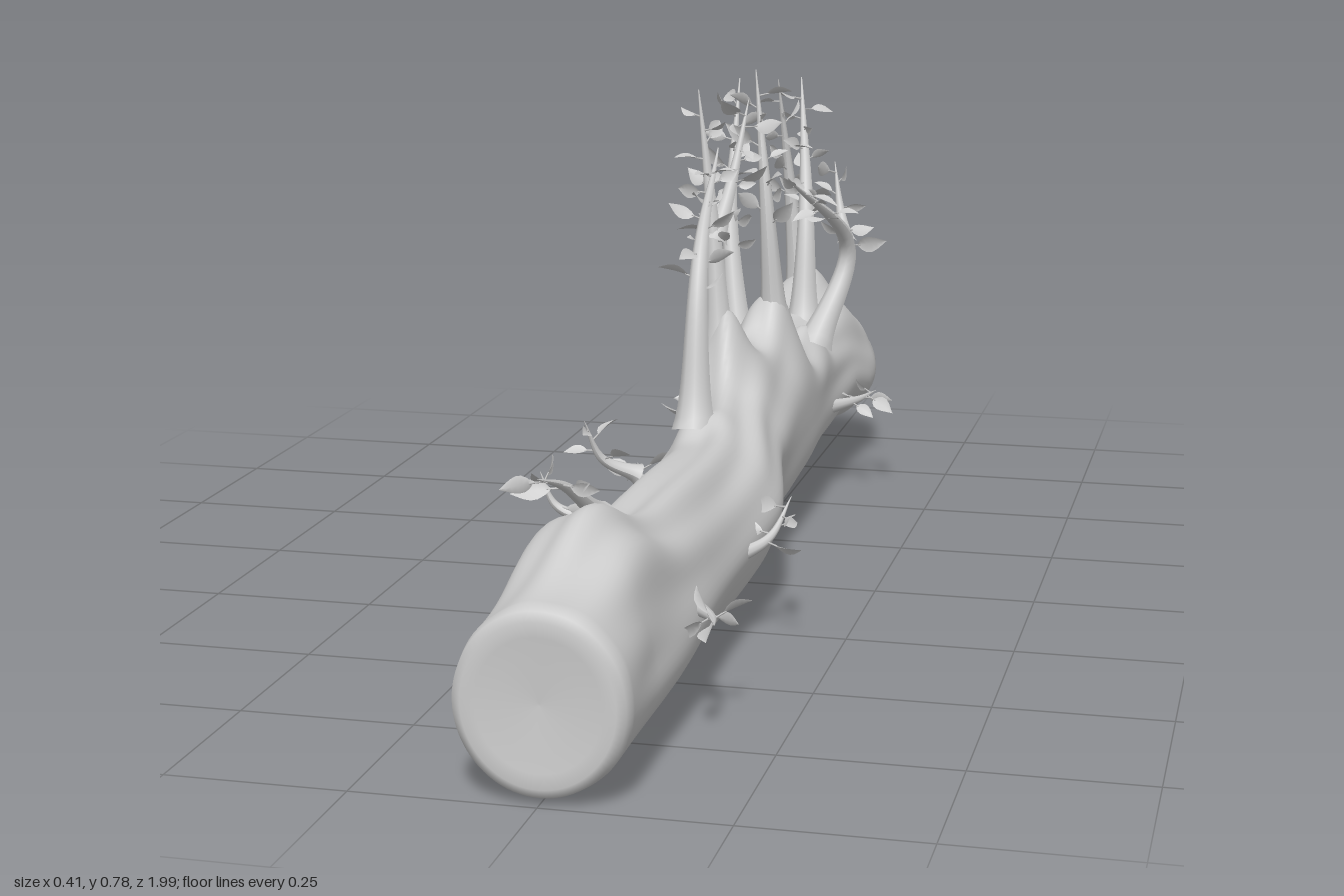
import * as THREE from 'three';
import { mergeGeometries } from 'three/addons/utils/BufferGeometryUtils.js';

const V = (x, y, z) => new THREE.Vector3(x, y, z);
const bark = new THREE.MeshStandardMaterial({ color: 0xcccccc });
const foliage = new THREE.MeshStandardMaterial({ color: 0xcccccc, side: THREE.DoubleSide });

let seed = 7;
const rnd = () => (seed = (seed * 16807) % 2147483647) / 2147483647;

// Trunk outline: z, then the left, right, bottom and top limits
const STATIONS = [
  [1, -0.115, 0.118, 0, 0.25], [0.5, -0.1, 0.11, 0, 0.26], [0.15, -0.09, 0.12, 0.025, 0.255],
  [-0.1, -0.09, 0.085, 0.05, 0.28], [-0.35, -0.09, 0.08, 0.055, 0.29], [-0.52, -0.11, 0.08, 0.068, 0.285],
  [-0.72, -0.105, 0.085, 0.09, 0.285], [-0.88, -0.125, 0.09, 0.055, 0.265], [-1, -0.115, 0.08, 0.075, 0.23],
];
// Collars where boughs leave the trunk: x, z, height, radius
const HUMPS = [
  [0, 0.76, 0.06, 0.11], [-0.035, -0.15, 0.1, 0.055], [0.01, -0.35, 0.1, 0.055],
  [-0.01, -0.25, 0.04, 0.12], [-0.03, -0.82, 0.09, 0.075], [0.045, -0.53, 0.03, 0.045],
  [-0.03, 0.05, 0.025, 0.035],
];
const bell = (d, width) => Math.exp(-((d / width) ** 2));

function section(z) {
  let i = 0;
  while (i < STATIONS.length - 2 && z < STATIONS[i + 1][0]) i++;
  const a = STATIONS[i], b = STATIONS[i + 1];
  const t = THREE.MathUtils.smoothstep((a[0] - z) / (a[0] - b[0]), 0, 1);
  return a.map((v, k) => v + (b[k] - v) * t);
}

// One trunk with knobbly collars, long grooves and rounded, closed ends
function trunkGeometry() {
  const N = 80, LAST = 204, pos = [], index = [];
  for (let r = 0; r <= LAST; r++) {
    // the first and last rings close the ends along a rounded rim
    const e = Math.min(r, LAST - r, 6) / 6, s = Math.sin((e * Math.PI) / 2);
    const z = r < 6 || r > LAST - 6
      ? Math.sign(LAST / 2 - r) * (e < 0.8 ? 0.99 + 0.012 * e : 0.992)
      : 0.975 - (1.95 * (r - 6)) / (LAST - 12);
    const [, left, right, bottom, top] = section(z);
    const cx = (left + right) / 2, cy = (bottom + top) / 2;
    const calm = THREE.MathUtils.clamp((1 - Math.abs(z)) * 6, 0, 1);
    for (let i = 0; i < N; i++) {
      const a = (i / N) * Math.PI * 2, c = Math.cos(a), n = Math.sin(a);
      const groove = 0.035 * Math.sin(5 * a + 4 * z) * (1.4 - Math.abs(n))
        + 0.045 * Math.sin(9 * a + 3 * Math.sin(4 * z)) * (n > 0 ? n : 0.2 * n)
        + 0.025 * Math.sin(2 * a + 13 * z);
      const k = s * (1 + calm * groove);
      // swellings high on the right side
      const swell = 0.045 * s * bell(a - 2.65, 0.55) * (bell(z + 0.5, 0.1) + bell(z + 0.92, 0.1));
      const x = cx + ((right - left) / 2) * k * c - swell;
      let y = cy + ((top - bottom) / 2) * k * n;
      const up = THREE.MathUtils.smoothstep(n, 0, 0.8);
      for (const [hx, hz, h, hr] of HUMPS) y += up * h * bell(Math.hypot(x - hx, z - hz), hr);
      // slanted break at the back
      const slant = (0.16 * (0.2 - y) + 0.08 * (x + 0.12)) * THREE.MathUtils.clamp((-z - 0.9) * 10, 0, 1);
      pos.push(x, y, Math.max(-1, z + slant));
      if (r < LAST) {
        const p = r * N + i, q = r * N + ((i + 1) % N);
        index.push(p, p + N, q, q, p + N, q + N);
      }
    }
  }
  const g = new THREE.BufferGeometry();
  g.setAttribute('position', new THREE.Float32BufferAttribute(pos, 3));
  g.setIndex(index);
  g.computeVertexNormals();
  return g;
}

// Tube that narrows from a flared base to a point
function taperedTube(curve, radius) {
  const seg = 28, sides = 9, g = new THREE.TubeGeometry(curve, seg, 1, sides);
  const p = g.attributes.position, v = V(0, 0, 0);
  for (let i = 0; i <= seg; i++) {
    const t = i / seg, c = curve.getPointAt(t);
    const r = radius * (0.94 * (1 - t) + 0.04 + 0.4 * Math.exp(-t * 14));
    for (let j = 0; j <= sides; j++) {
      const k = i * (sides + 1) + j;
      v.fromBufferAttribute(p, k).sub(c).multiplyScalar(r).add(c);
      p.setXYZ(k, v.x, v.y, v.z);
    }
  }
  g.computeVertexNormals();
  return g;
}

// Pointed, slightly folded leaf on a thin stalk, growing along +y
function leafGeometry(length) {
  const blade = new THREE.PlaneGeometry(1, 1, 2, 6), p = blade.attributes.position;
  for (let i = 0; i < p.count; i++) {
    const t = p.getY(i) + 0.5, w = 0.52 * Math.pow(Math.max(0, Math.sin(Math.PI * Math.pow(t, 0.85))), 1.1);
    const x = p.getX(i) * w;
    p.setXYZ(i, x * length, (t + 0.35) * length, (Math.abs(x) * 0.35 - 0.15 * t * t) * length);
  }
  blade.computeVertexNormals();
  const stalk = new THREE.CylinderGeometry(0.0012, 0.002, length * 0.5, 4).translate(0, length * 0.22, 0);
  return mergeGeometries([blade, stalk]);
}

// Leaves spiral around the outer part of a stem
function leavesAlong(curve, count) {
  const out = [], m = new THREE.Matrix4(), q = new THREE.Quaternion(), spin = new THREE.Quaternion();
  const yAxis = V(0, 1, 0);
  for (let i = 0; i < count; i++) {
    const t = 0.38 + (0.54 * (i + 0.6)) / count;
    const a = i * 2.4 + rnd(), dir = V(Math.cos(a), rnd() * 0.8 - 0.35, Math.sin(a));
    dir.addScaledVector(curve.getTangentAt(t), 0.3).normalize();
    q.setFromUnitVectors(yAxis, dir).multiply(spin.setFromAxisAngle(yAxis, rnd() * 6.28));
    m.compose(curve.getPointAt(t), q, V(1, 1, 1));
    out.push(leafGeometry(0.034 + rnd() * 0.022).applyMatrix4(m));
  }
  return mergeGeometries(out);
}

// Boughs on top: base, bend, tip, and the tip of a fork if there is one
const BOUGHS = {
  archedBough: [V(-0.03, 0.25, 0.05), V(-0.04, 0.51, -0.03), V(-0.06, 0.655, -0.24)],
  middleBough: [V(-0.035, 0.33, -0.15), V(-0.055, 0.55, -0.175), V(-0.082, 0.755, -0.195), V(-0.02, 0.73, -0.29)],
  straightBough: [V(0.015, 0.33, -0.345), V(0, 0.55, -0.34), V(-0.028, 0.77, -0.38)],
  curvedBough: [V(0.045, 0.27, -0.53), V(0.09, 0.43, -0.605), V(0.03, 0.59, -0.37), V(0.055, 0.58, -0.66)],
  sideBough: [V(-0.095, 0.22, -0.57), V(-0.132, 0.47, -0.645), V(-0.138, 0.715, -0.745)],
  rearBough: [V(-0.04, 0.3, -0.82), V(-0.06, 0.52, -0.82), V(-0.075, 0.71, -0.785)],
  rearBentBough: [V(-0.01, 0.27, -0.71), V(-0.02, 0.49, -0.775), V(-0.06, 0.7, -0.925)],
  frontTwig: [V(0, 0.29, 0.7), V(-0.02, 0.35, 0.79), V(-0.035, 0.38, 0.87)],
};
// Twigs low on the sides: root x, y and z, lean along z, and rise
const TWIGS = {
  leftTwigFront: [0.09, 0.14, 0.58, 0.14, 0.015],
  leftTwigMiddle: [0.09, 0.13, 0.34, -0.12, 0.07],
  leftTwigRear: [0.055, 0.155, -0.54, -0.17, 0],
  rightTwigFront: [-0.065, 0.17, 0.12, -0.12, 0.01],
  rightTwigMiddle: [-0.07, 0.17, -0.28, -0.1, 0.03],
  rightTwigRear: [-0.1, 0.16, -0.5, -0.14, -0.01],
  hookedTwig: [-0.075, 0.22, 0.22, 0.05, 0.09],
  upperTwig: [-0.08, 0.215, 0.47, 0.01, 0.07],
};

export function createModel() {
  seed = 7;
  const model = new THREE.Group();
  model.name = 'fallenLog';
  const add = (parent, name, geometry, material) => {
    const mesh = new THREE.Mesh(geometry, material);
    mesh.name = name;
    parent.add(mesh);
  };
  // Longer stems are thicker and carry more leaves
  const grow = (name, points) => {
    const curve = new THREE.CatmullRomCurve3(points), length = curve.getLength();
    const bough = new THREE.Group();
    bough.name = name;
    add(bough, 'stem', taperedTube(curve, 0.008 + 0.034 * length), bark);
    add(bough, 'leaves', leavesAlong(curve, Math.round(1 + 22 * length)), foliage);
    model.add(bough);
    return curve;
  };

  add(model, 'trunk', trunkGeometry(), bark);
  for (const [name, [base, bend, tip, forkTip]] of Object.entries(BOUGHS)) {
    const curve = grow(name, [base, bend, tip]);
    if (forkTip) {
      const start = curve.getPointAt(0.42);
      const bow = start.clone().lerp(forkTip, 0.5).add(V(0, -0.02, 0));
      grow(name + 'Fork', [start, bow, forkTip]);
    }
  }
  for (const [name, [x, y, z, lean, rise]] of Object.entries(TWIGS)) {
    const out = Math.sign(x) * 0.07;
    grow(name, [
      V(x, y, z), V(x + out * 0.7, y + rise * 0.3, z + lean * 0.5), V(x + out, y + rise, z + lean),
    ]);
  }
  return model;
}
